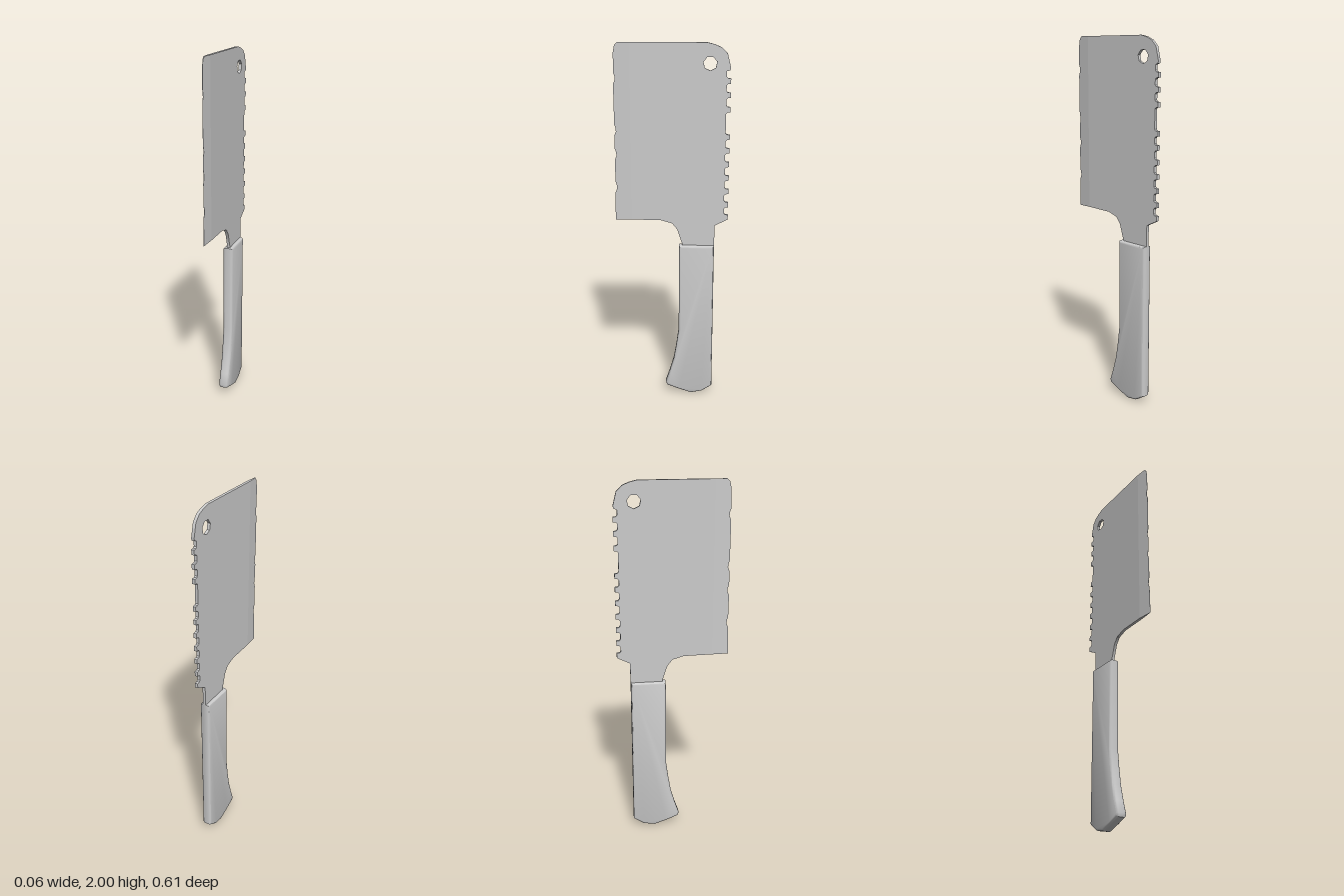
import * as THREE from 'three';
import { toCreasedNormals } from 'three/addons/utils/BufferGeometryUtils.js';

const BLADE_T = 0.016; // blade thickness
const BEVEL_Z = 0.22;  // where the cutting bevel starts
const EDGE_Z = 0.308;  // cutting edge

const shapeOf = (pts) => new THREE.Shape(pts.map(([z, y]) => new THREE.Vector2(z, y)));

// Extrude a side profile drawn in (z, y), centred on x = 0
function slab(shape, options) {
  const geo = new THREE.ExtrudeGeometry(shape, { bevelEnabled: false, ...options });
  geo.translate(0, 0, -options.depth / 2);
  geo.rotateY(-Math.PI / 2);
  return geo;
}

function makeMesh(name, geo, crease) {
  const mat = new THREE.MeshStandardMaterial({ color: 0xcccccc });
  const mesh = new THREE.Mesh(toCreasedNormals(geo, crease), mat);
  mesh.name = name;
  return mesh;
}

// Main plate with toothed spine, tang and hanging hole
function bladeBody() {
  const pts = [
    [BEVEL_Z, 1.06], [BEVEL_Z, 2], [-0.18, 2], [-0.22, 1.99], [-0.255, 1.975],
    [-0.285, 1.945], [-0.303, 1.875], [-0.3, 1.862], [-0.283, 1.857],
  ];
  const teeth = [1.807, 1.735, 1.661, 1.516, 1.444, 1.37, 1.296, 1.222, 1.148, 1.078];
  for (const y of teeth) {
    pts.push([-0.283, y + 0.022], [-0.289, y + 0.015], [-0.305, y + 0.013],
      [-0.305, y - 0.013]);
    if (y > 1.1) pts.push([-0.289, y - 0.015], [-0.283, y - 0.022]);
  }
  pts.push([-0.235, 1.03], [-0.232, 0.86], [-0.05, 0.86], [-0.058, 0.92],
    [-0.03, 1.005], [-0.002, 1.04], [0.06, 1.058]);
  const shape = shapeOf(pts);
  const hole = new THREE.Path();
  for (let i = 0; i < 7; i++) {
    const a = -i / 7 * Math.PI * 2 + 0.2;
    const z = -0.197 + 0.036 * Math.cos(a), y = 1.895 + 0.036 * Math.sin(a);
    i ? hole.lineTo(z, y) : hole.moveTo(z, y);
  }
  hole.closePath();
  shape.holes.push(hole);
  return slab(shape, { depth: BLADE_T });
}

// Nicked cutting strip, thinned to a sharp edge
function cuttingEdge() {
  const pts = [[BEVEL_Z, 1.06], [EDGE_Z, 1.058]];
  for (const y of [1.24, 1.42, 1.55, 1.82]) {
    pts.push([0.305, y - 0.03], [0.296, y - 0.008], [0.297, y + 0.01], [0.304, y + 0.03]);
  }
  pts.push([0.302, 1.95], [0.295, 1.985], [0.28, 2], [BEVEL_Z, 2]);
  const geo = slab(shapeOf(pts), { depth: BLADE_T });
  const p = geo.attributes.position;
  for (let i = 0; i < p.count; i++) {
    const t = (EDGE_Z - p.getZ(i)) / (EDGE_Z - BEVEL_Z);
    p.setX(i, p.getX(i) * Math.max(0.03, t));
  }
  return geo;
}

// Grip with rounded borders and a flared butt
function grip() {
  const shape = shapeOf([
    [-0.233, 0.915], [-0.233, 0.05], [-0.175, 0.012], [-0.11, 0], [-0.04, 0.024],
    [0.028, 0.05], [0.034, 0.07], [0.012, 0.135], [-0.012, 0.22], [-0.027, 0.31],
    [-0.04, 0.41], [-0.04, 0.915],
  ]);
  return slab(shape, {
    depth: 0.024, curveSegments: 1, bevelEnabled: true, bevelSegments: 3,
    bevelThickness: 0.016, bevelSize: 0.012, bevelOffset: -0.012,
  });
}

export function createModel() {
  const group = new THREE.Group();
  group.name = 'cleaver';
  const blade = new THREE.Group();
  blade.name = 'blade';
  blade.add(makeMesh('bladeBody', bladeBody(), 0.6), makeMesh('cuttingEdge', cuttingEdge(), 0.6));
  group.add(blade, makeMesh('handle', grip(), 0.75));
  return group;
}
